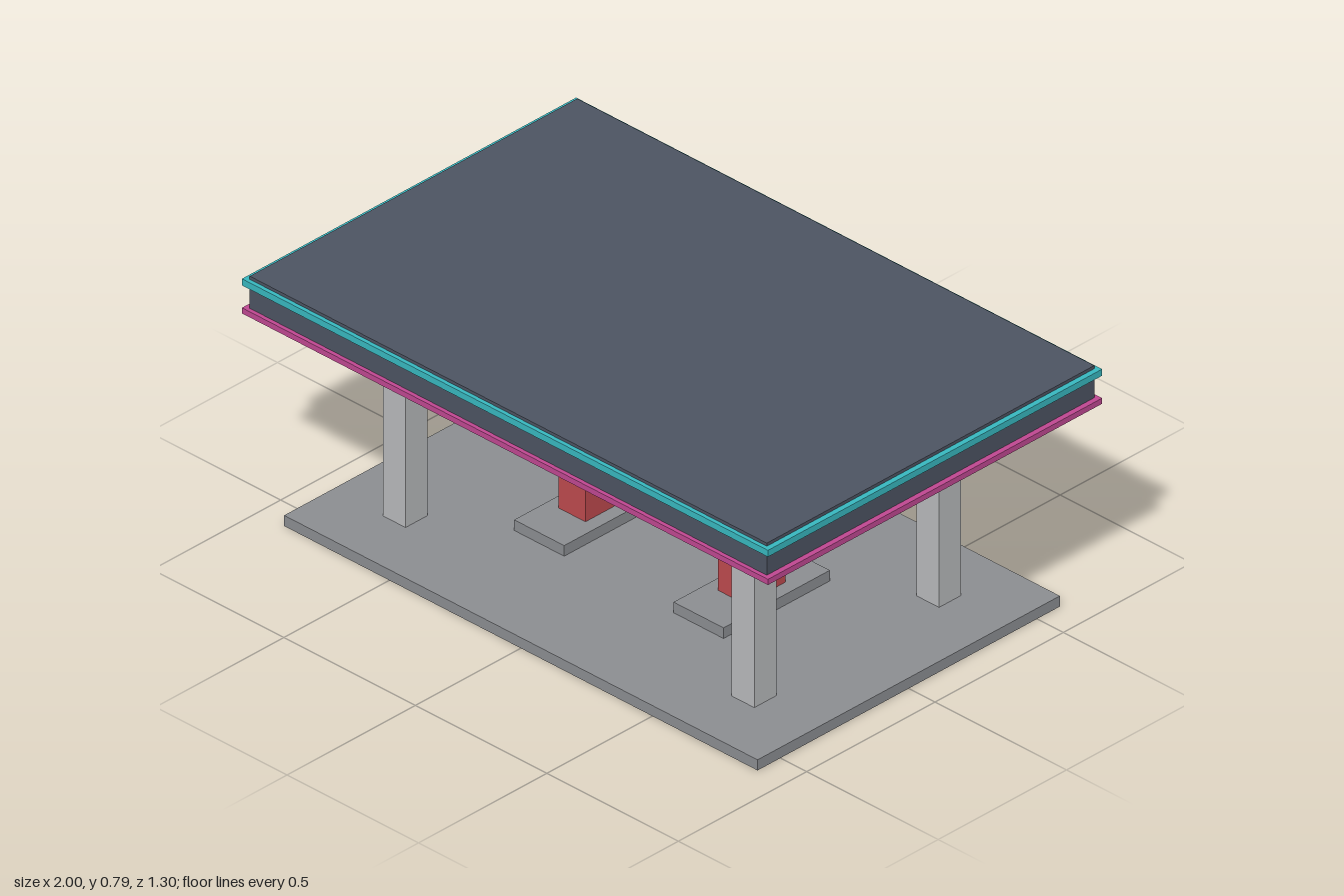
import * as THREE from 'three';

const paint = (name, color) => {
  const m = new THREE.MeshStandardMaterial({ color });
  m.name = name;
  return m;
};

export function createModel() {
  const model = new THREE.Group();
  model.name = 'fuelStation';

  const concrete = paint('concrete grey', 0x8c8e92);
  const steel = paint('light steel', 0xb8babc);
  const slate = paint('slate', 0x4d5462);
  const teal = paint('teal', 0x38b8c0);
  const pink = paint('pink', 0xc04892);
  const red = paint('red', 0xbe4a4e);

  // Box given by its centre in x and z, and by its bottom and top heights
  const box = (name, mat, w, d, y0, y1, x = 0, z = 0) => {
    const mesh = new THREE.Mesh(new THREE.BoxGeometry(w, y1 - y0, d), mat);
    mesh.position.set(x, (y0 + y1) / 2, z);
    mesh.name = name;
    model.add(mesh);
  };

  // Forecourt slab
  box('forecourt', concrete, 1.8, 1.178, 0, 0.034);

  // Canopy with two projecting light strips
  box('canopy', slate, 1.966, 1.276, 0.658, 0.787);
  box('upperTrim', teal, 2, 1.302, 0.756, 0.777);
  box('lowerTrim', pink, 2, 1.302, 0.666, 0.684);

  for (const side of [-1, 1]) {
    // Canopy columns
    for (const end of [-1, 1]) {
      box('column', steel, 0.086, 0.086, 0.034, 0.658, side * 0.663, end * 0.36);
    }
    // Pump on its island, with a screen on both outer faces
    const x = side * 0.303;
    box('pumpIsland', concrete, 0.19, 0.414, 0.034, 0.068, x);
    box('pump', red, 0.102, 0.158, 0.068, 0.268, x);
    for (const face of [-1, 1]) {
      box('pumpScreen', teal, 0.006, 0.104, 0.164, 0.23, x + face * 0.052);
    }
  }

  return model;
}
